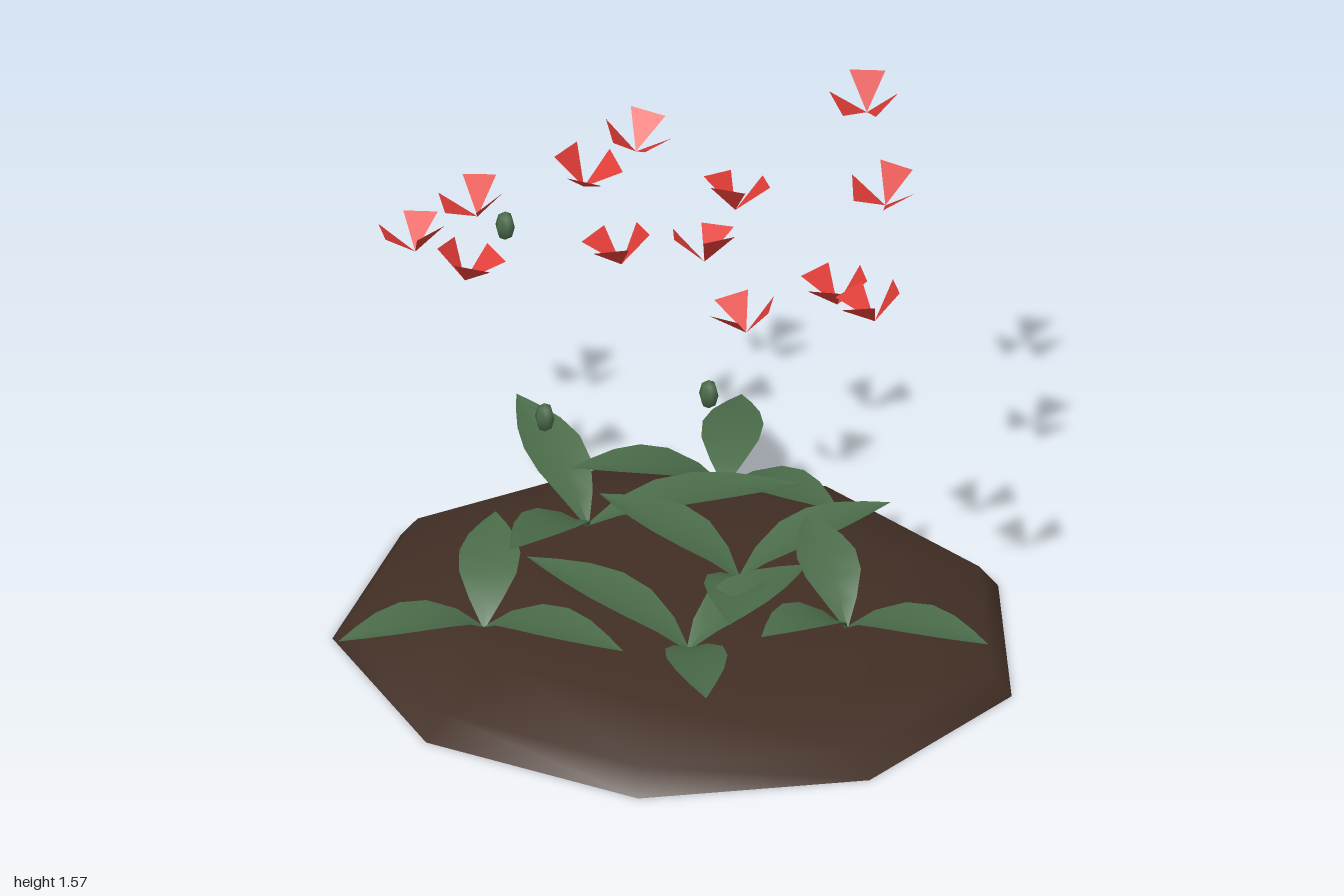
import * as THREE from 'three';

const mat = (name, color, side = THREE.FrontSide) => {
  const m = new THREE.MeshStandardMaterial({ color, side });
  m.name = name;
  return m;
};

// Leaf blade from base to tip: arched along its length, slightly folded at the midrib
function leafGeometry(base, tip, arch) {
  const dir = tip.clone().sub(base);
  const across = new THREE.Vector3(-dir.z, 0, dir.x).normalize();
  const rows = [[0, 0.006], [0.14, 0.05], [0.32, 0.085], [0.5, 0.09], [0.68, 0.07], [0.85, 0.036], [1, 0]];
  const pos = [], index = [];
  rows.forEach(([t, w], i) => {
    const mid = base.clone().addScaledVector(dir, t);
    mid.y += arch * Math.sin(Math.PI * Math.pow(t, 0.7));
    for (const s of [-1, 0, 1]) {
      const p = mid.clone().addScaledVector(across, s * w);
      p.y += Math.abs(s) * w * 0.2;
      pos.push(p.x, p.y, p.z);
    }
    if (i === 0) return;
    for (const k of [0, 1]) {
      const a = (i - 1) * 3 + k, b = a + 1, c = a + 3, d = a + 4;
      index.push(a, c, b, b, c, d);
    }
  });
  const g = new THREE.BufferGeometry();
  g.setAttribute('position', new THREE.Float32BufferAttribute(pos, 3));
  // wind so that the upper side is the front
  g.setIndex(index);
  g.computeVertexNormals();
  if (g.attributes.normal.getY(4) < 0) {
    g.setIndex(index.slice().reverse());
    g.computeVertexNormals();
  }
  return g;
}

// One triangular petal rising outward along +x
function petalGeometry() {
  const g = new THREE.BufferGeometry();
  g.setAttribute('position', new THREE.Float32BufferAttribute(
    [0, 0, 0, 0.088, 0.088, 0.054, 0.088, 0.088, -0.054], 3));
  g.computeVertexNormals();
  return g;
}

export function createModel() {
  const model = new THREE.Group();
  model.name = 'flowerBed';
  const soil = mat('soil brown', 0x422f25);
  const green = mat('leaf green', 0x4a6b49, THREE.DoubleSide);
  const red = mat('petal red', 0xe03c36, THREE.DoubleSide);

  const add = (parent, geometry, material, name) => {
    const m = new THREE.Mesh(geometry, material);
    m.name = name;
    parent.add(m);
    return m;
  };

  // Soil mound: nine-sided low dome with a flat underside
  const mound = new THREE.Group();
  mound.name = 'soilMound';
  const profile = [[1, 0], [0.94, 0.077], [0.67, 0.148], [0.35, 0.165], [0, 0.168]]
    .map(([r, y]) => new THREE.Vector2(r, y));
  add(mound, new THREE.LatheGeometry(profile, 9, Math.PI / 2), soil, 'moundTop');
  add(mound, new THREE.CircleGeometry(1, 9).rotateX(Math.PI / 2), soil, 'moundUnderside');
  mound.scale.set(1.03, 1, 0.925);
  mound.position.set(-0.03, 0, 0.085);
  model.add(mound);

  // Leaf clusters: base [x, z], then three tips [x, y, z]
  const clusters = [
    [[-0.10, -0.545], [-0.20, 0.20, -1.0], [-0.49, 0.29, -0.29], [0.33, 0.28, -0.32]],
    [[-0.41, -0.20], [-0.75, 0.345, -0.56], [0.18, 0.27, -0.45], [-0.50, 0.31, 0.25]],
    [[0.11, -0.05], [-0.36, 0.30, -0.16], [0.49, 0.34, -0.32], [0.22, 0.25, 0.36]],
    [[0.50, 0.12], [0.97, 0.24, 0.21], [0.27, 0.33, -0.19], [0.34, 0.27, 0.43]],
    [[0.10, 0.39], [0.33, 0.26, -0.03], [-0.44, 0.31, 0.27], [0.31, 0.29, 0.85]],
    [[-0.51, 0.455], [-0.61, 0.31, 0.05], [-0.86, 0.215, 0.76], [-0.05, 0.21, 0.54]],
  ];
  for (const [[bx, bz], ...tips] of clusters) {
    const cluster = new THREE.Group();
    cluster.name = 'leafCluster';
    const base = new THREE.Vector3(bx, 0.16, bz);
    for (const tip of tips)
      add(cluster, leafGeometry(base, new THREE.Vector3(...tip), 0.045), green, 'leaf');
    model.add(cluster);
  }

  // Blossoms: x, y, z, first petal angle in degrees, tilt about x, tilt about z
  const petal = petalGeometry();
  const blossoms = [
    [-0.39, 1.22, -0.59, 30, 0.15, -0.15],
    [0.305, 1.45, -0.65, 20, 0.35, 0],
    [-0.83, 1.00, -0.44, 30, 0.2, 0.2],
    [0.00, 1.23, -0.345, 90, -0.2, 0],
    [0.485, 1.37, -0.285, 40, 0.3, 0],
    [-0.41, 1.33, -0.17, 80, 0.1, -0.2],
    [-0.715, 1.06, 0.02, 70, -0.1, -0.2],
    [0.02, 1.25, 0.00, 40, -0.2, 0.1],
    [0.485, 1.28, 0.16, 90, 0, 0.1],
    [-0.755, 1.34, 0.36, 30, 0, 0.15],
    [-0.12, 1.41, 0.35, 80, 0, 0.2],
    [0.31, 1.33, 0.48, 110, 0, 0.15],
    [0.685, 1.40, 0.41, 90, 0, 0.25],
  ];
  for (const [x, y, z, angle, tiltX, tiltZ] of blossoms) {
    const blossom = new THREE.Group();
    blossom.name = 'blossom';
    for (let i = 0; i < 3; i++)
      add(blossom, petal, red, 'petal').rotation.y = -THREE.MathUtils.degToRad(angle + i * 120);
    blossom.position.set(x, y, z);
    blossom.rotation.set(tiltX, 0, tiltZ);
    model.add(blossom);
  }

  // Closed buds
  const budShape = new THREE.SphereGeometry(0.03, 6, 4).scale(1, 1.6, 1);
  for (const p of [[-0.485, 1.465, 0.335], [-0.23, 1.08, 0.73], [0.33, 1.35, 0.885]])
    add(model, budShape, green, 'bud').position.set(...p);

  return model;
}
